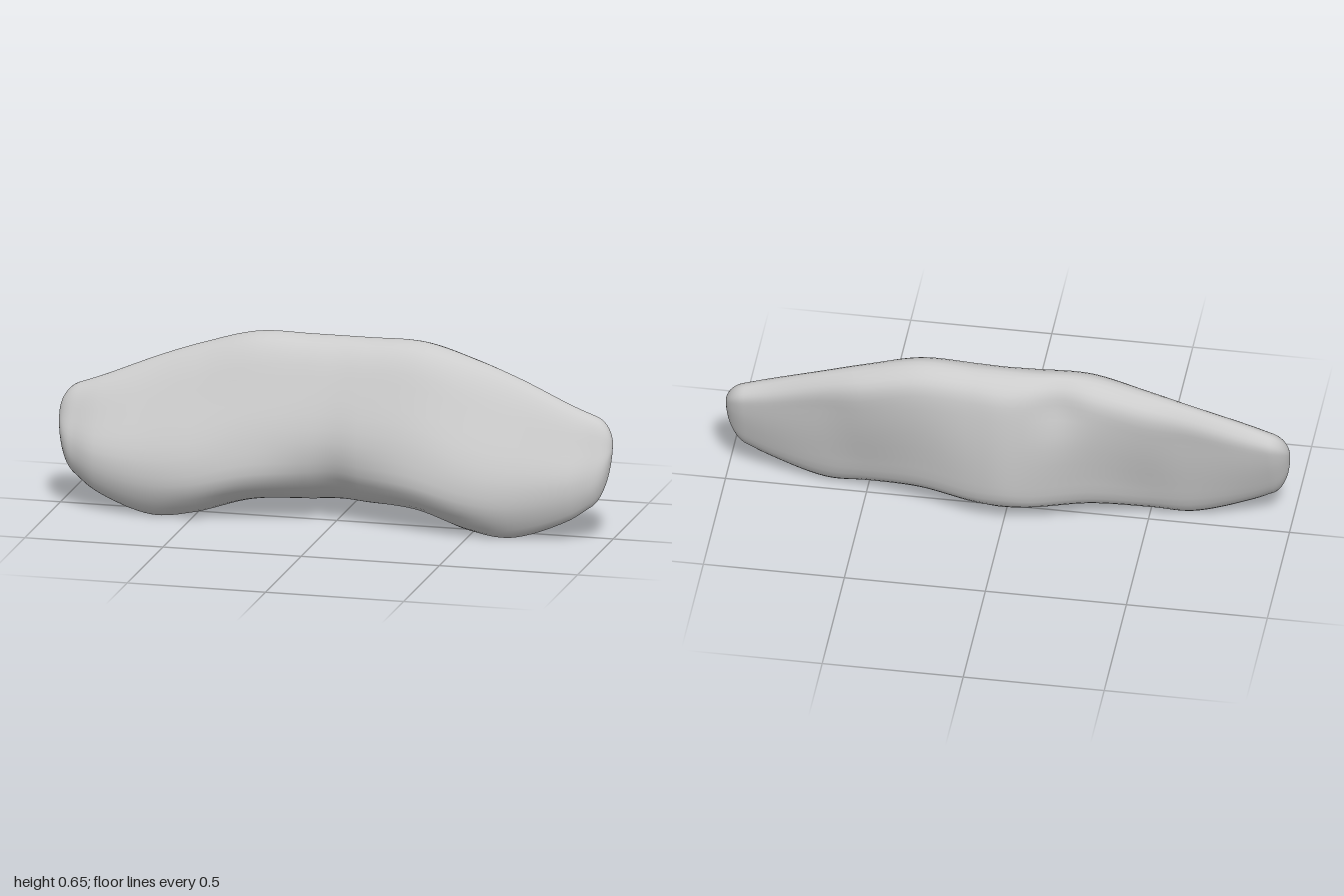
import * as THREE from 'three';

// Cross-sections from the middle outwards: x, then [z, y] pairs running top -> front -> bottom -> back
const SECTIONS = [
  { x: 0, p: [[-.08, .653], [-.01, .622], [.055, .5], [.107, .31], [.07, .17], [-.07, .064], [-.145, .118], [-.17, .24], [-.173, .5], [-.151, .602]] },
  { x: .1, p: [[-.08, .653], [-.006, .622], [.06, .495], [.117, .307], [.09, .163], [-.045, .064], [-.125, .105], [-.156, .24], [-.165, .5], [-.145, .606]] },
  { x: .3, p: [[-.07, .653], [.002, .618], [.075, .475], [.14, .3], [.143, .15], [.015, .065], [-.065, .1], [-.108, .25], [-.147, .5], [-.136, .606]] },
  { x: .5, p: [[-.06, .6], [.002, .562], [.085, .42], [.165, .24], [.165, .11], [.075, .018], [0, .06], [-.05, .2], [-.11, .42], [-.121, .55]] },
  { x: .65, p: [[-.05, .548], [.002, .517], [.087, .38], [.16, .22], [.157, .1], [.088, .004], [.018, .05], [-.033, .2], [-.078, .4], [-.09, .5]] },
  { x: .85, p: [[-.025, .468], [.022, .443], [.082, .34], [.132, .23], [.127, .14], [.085, .074], [.03, .11], [-.018, .22], [-.055, .36], [-.06, .43]] },
  { x: .94, p: [[-.022, .435], [.018, .417], [.06, .335], [.092, .25], [.09, .18], [.06, .132], [.02, .165], [-.018, .25], [-.048, .35], [-.052, .405]] },
];
const RAIL_STEPS = 96, RING = 40, CAP_STEPS = 8;

// One rail per section point, mirrored across x = 0
function makeRail(k) {
  const half = SECTIONS.map(({ x, p }) => new THREE.Vector3(x, p[k][1], p[k][0]));
  const mirrored = half.slice(1).reverse().map((v) => new THREE.Vector3(-v.x, v.y, v.z));
  return new THREE.CatmullRomCurve3([...mirrored, ...half]);
}

// Shallow hollow high on one side of the back; the other wing has a slightly thinner front
function addUnevenness(v) {
  if (v.z < -.07) {
    const dent = Math.exp(-(((v.x + .2) / .09) ** 2) - ((v.y - .56) / .1) ** 2);
    v.z += .026 * dent * Math.min(1, (-.07 - v.z) / .04);
  } else if (v.z > 0) {
    v.z *= 1 - .1 * THREE.MathUtils.smoothstep(v.x, .3, .8);
  }
}

function createBody() {
  const rails = SECTIONS[0].p.map((_, k) => makeRail(k));
  const rings = [];
  for (let i = 0; i <= RAIL_STEPS; i++) {
    const loop = new THREE.CatmullRomCurve3(rails.map((r) => r.getPoint(i / RAIL_STEPS)), true);
    rings.push(Array.from({ length: RING }, (_, j) => loop.getPoint(j / RING)));
  }
  rings.flat().forEach(addUnevenness);

  // Elliptical tips that carry on the slope of the wings
  const first = rings[0], last = rings[RAIL_STEPS];
  const start = Math.asin(.03 / .09);
  for (let s = 1; s <= CAP_STEPS; s++) {
    const a = THREE.MathUtils.lerp(start, Math.PI / 2, s / CAP_STEPS);
    const k = Math.cos(a) / Math.cos(start);
    const shrink = (side, loop) => loop.map((v) => new THREE.Vector3(
      side * (.91 + .09 * Math.sin(a)), .335 + (v.y - .335) * k, .01 + (v.z - .01) * k));
    rings.push(shrink(1, last));
    rings.unshift(shrink(-1, first));
  }

  // Skin the rings
  const idx = [];
  for (let i = 0; i < rings.length - 1; i++) {
    for (let j = 0; j < RING; j++) {
      const a = i * RING + j, b = i * RING + (j + 1) % RING;
      idx.push(a, b, a + RING, b, b + RING, a + RING);
    }
  }
  const geo = new THREE.BufferGeometry().setFromPoints(rings.flat());
  geo.setIndex(idx);
  geo.computeVertexNormals();
  return geo;
}

export function createModel() {
  const group = new THREE.Group();
  group.name = 'curvedPad';
  const body = new THREE.Mesh(createBody(), new THREE.MeshStandardMaterial({ color: 0xcccccc }));
  body.name = 'padBody';
  group.add(body);
  return group;
}
